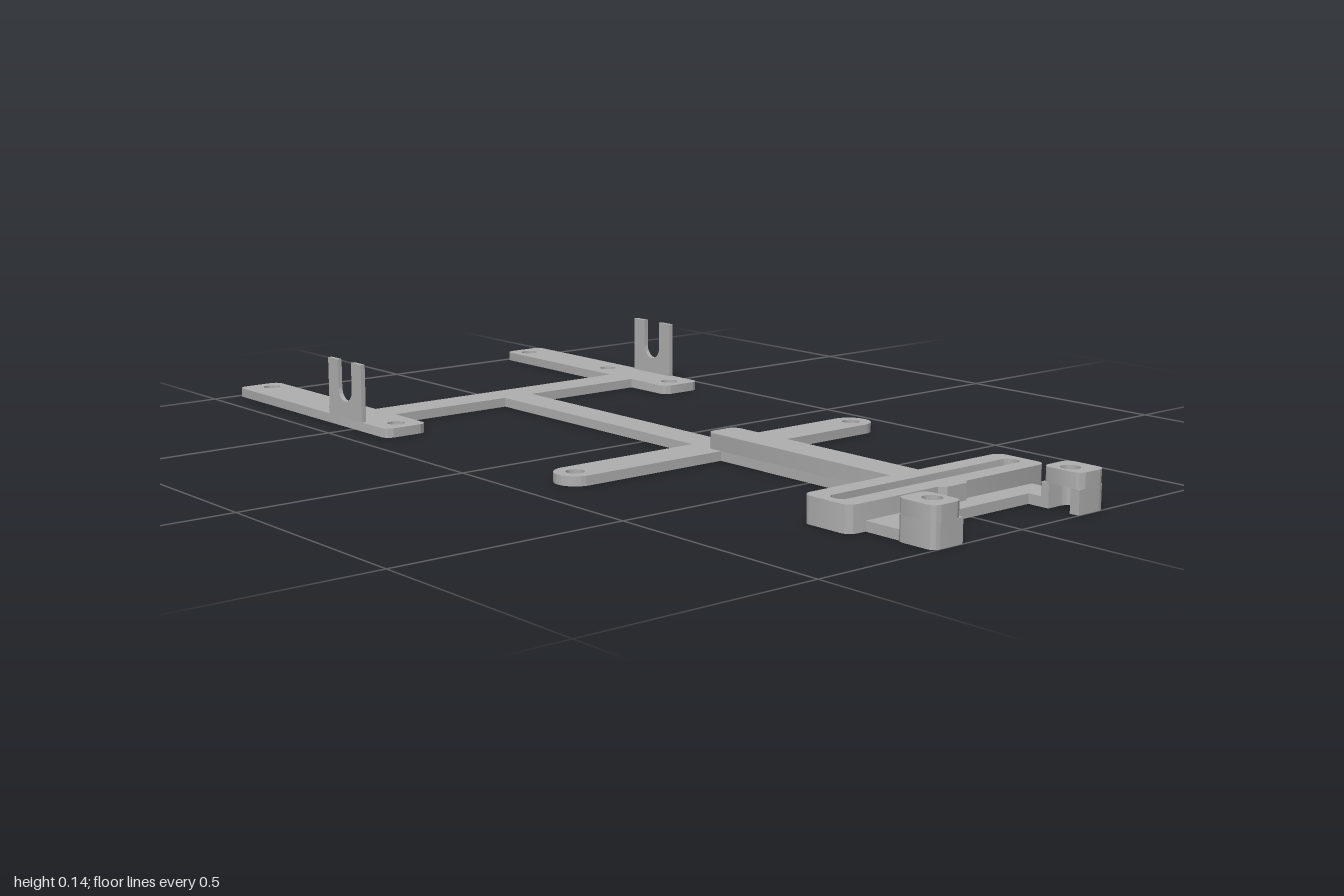
import * as THREE from 'three';
import { toCreasedNormals } from 'three/addons/utils/BufferGeometryUtils.js';

const grey = new THREE.MeshStandardMaterial({ color: 0xb0b0b0 });
grey.name = 'plain grey';

// Rectangle with rounded corners, traced into a Shape or Path
function roundRect(p, x0, x1, y0, y1, r) {
  if (r <= 0) {
    p.moveTo(x0, y0).lineTo(x1, y0).lineTo(x1, y1).lineTo(x0, y1).lineTo(x0, y0);
    return p;
  }
  const h = Math.PI / 2;
  p.moveTo(x0 + r, y0);
  p.absarc(x1 - r, y0 + r, r, -h, 0, false);
  p.absarc(x1 - r, y1 - r, r, 0, h, false);
  p.absarc(x0 + r, y1 - r, r, h, 2 * h, false);
  p.absarc(x0 + r, y0 + r, r, 2 * h, 3 * h, false);
  p.closePath();
  return p;
}

const circle = (x, y, r) => new THREE.Path().absarc(x, y, r, 0, Math.PI * 2, true);

function extrude(shape, depth) {
  const g = new THREE.ExtrudeGeometry(shape, { depth, bevelEnabled: false, curveSegments: 10 });
  return toCreasedNormals(g, 0.6);
}

// Horizontal slab from a plan outline drawn in (x, -z)
function slab(name, shape, y0, y1) {
  const g = extrude(shape, y1 - y0);
  g.rotateX(-Math.PI / 2);
  g.translate(0, y0, 0);
  const m = new THREE.Mesh(g, grey);
  m.name = name;
  return m;
}

function plate(name, [x0, x1], [z0, z1], [y0, y1], r = 0, holes = []) {
  const s = roundRect(new THREE.Shape(), x0, x1, -z1, -z0, r);
  s.holes.push(...holes);
  return slab(name, s, y0, y1);
}

export function createModel() {
  const group = new THREE.Group();
  group.name = 'mountingFrame';
  const T = 0.02;   // base thickness
  const H = 0.053;  // raised height
  const W = 0.038;  // half width of the spine

  // Spine and cross members
  group.add(plate('rearBeam', [-0.575, -0.495], [-0.333, 0.333], [0, T]));
  group.add(plate('spine', [-0.495, 0.156], [-W, W], [0, T]));
  group.add(plate('crossArm', [0.156, 0.244], [-0.417, 0.417], [0, T], 0.0439,
    [circle(0.2, 0.375, 0.019), circle(0.2, -0.375, 0.019)]));
  group.add(plate('spineFront', [0.244, 0.715], [-W, W], [0, T]));

  // Raised rib with a rounded start
  const rib = new THREE.Shape();
  rib.moveTo(0.715, -W).lineTo(0.715, W).lineTo(0.22, W);
  rib.absarc(0.22, W - 0.02, 0.02, Math.PI / 2, Math.PI, false);
  rib.absarc(0.22, -W + 0.02, 0.02, Math.PI, Math.PI * 1.5, false);
  rib.closePath();
  group.add(slab('raisedRib', rib, T, H));

  // Slotted block, ledge and small bump
  group.add(plate('slottedBlock', [0.713, 0.833], [-0.263, 0.263], [0, H], 0.022,
    [roundRect(new THREE.Path(), 0.755, 0.793, -0.243, 0.243, 0.018)]));
  group.add(plate('ledge', [0.833, 0.882], [-0.222, 0.222], [0, T]));
  const bump = new THREE.Shape();
  bump.moveTo(0.833, -W).lineTo(0.845, -W + 0.012).lineTo(0.845, W - 0.012).lineTo(0.833, W).closePath();
  group.add(slab('ledgeBump', bump, T, H));

  for (const s of [1, -1]) {
    const side = s > 0 ? 'left' : 'right';
    const span = (a, b) => (s > 0 ? [a, b] : [-b, -a]);

    // Side rail with three screw holes
    group.add(plate(side + 'Rail', [-1, -0.37], span(0.333, 0.437), [0, T], 0.02,
      [[-0.957, 0.374], [-0.65, 0.385], [-0.415, 0.383]].map(([x, z]) => circle(x, -s * z, 0.019))));

    // Upright forked tab on the outer edge of the rail
    const fork = new THREE.Shape();
    fork.moveTo(-0.597, T).lineTo(-0.465, T).lineTo(-0.465, 0.145).lineTo(-0.504, 0.145).lineTo(-0.504, 0.083);
    fork.absarc(-0.531, 0.083, 0.027, 0, Math.PI, true);
    fork.lineTo(-0.558, 0.145).lineTo(-0.597, 0.145).closePath();
    const tab = new THREE.Mesh(extrude(fork, 0.01), grey);
    tab.position.z = s > 0 ? 0.427 : -0.437;
    tab.name = side + 'Fork';
    group.add(tab);

    // Clip: arm, walls round a pocket open inward and below, drilled roof
    const clip = new THREE.Group();
    clip.name = side + 'Clip';
    clip.add(plate('clipArm', [0.882, 0.912], span(0.155, 0.222), [0, T]));
    const zIn = -s * 0.155, zOut = -s * 0.228, r = 0.018, q = s * r, c = -s * 0.188;
    const wall = new THREE.Shape();
    wall.moveTo(0.911, zIn).lineTo(0.911, zOut + q);
    wall.quadraticCurveTo(0.911, zOut, 0.911 + r, zOut);
    wall.lineTo(1 - r, zOut);
    wall.quadraticCurveTo(1, zOut, 1, zOut + q);
    wall.lineTo(1, zIn).lineTo(0.979, zIn).lineTo(0.979, c);
    wall.absarc(0.954, c, 0.025, 0, Math.PI, s > 0);
    wall.lineTo(0.929, zIn).closePath();
    clip.add(slab('clipWalls', wall, 0, 0.048));
    clip.add(plate('clipRoof', [0.911, 1], span(0.155, 0.228), [0.048, 0.078], r,
      [circle(0.954, -s * 0.184, 0.019)]));
    group.add(clip);
  }
  return group;
}
